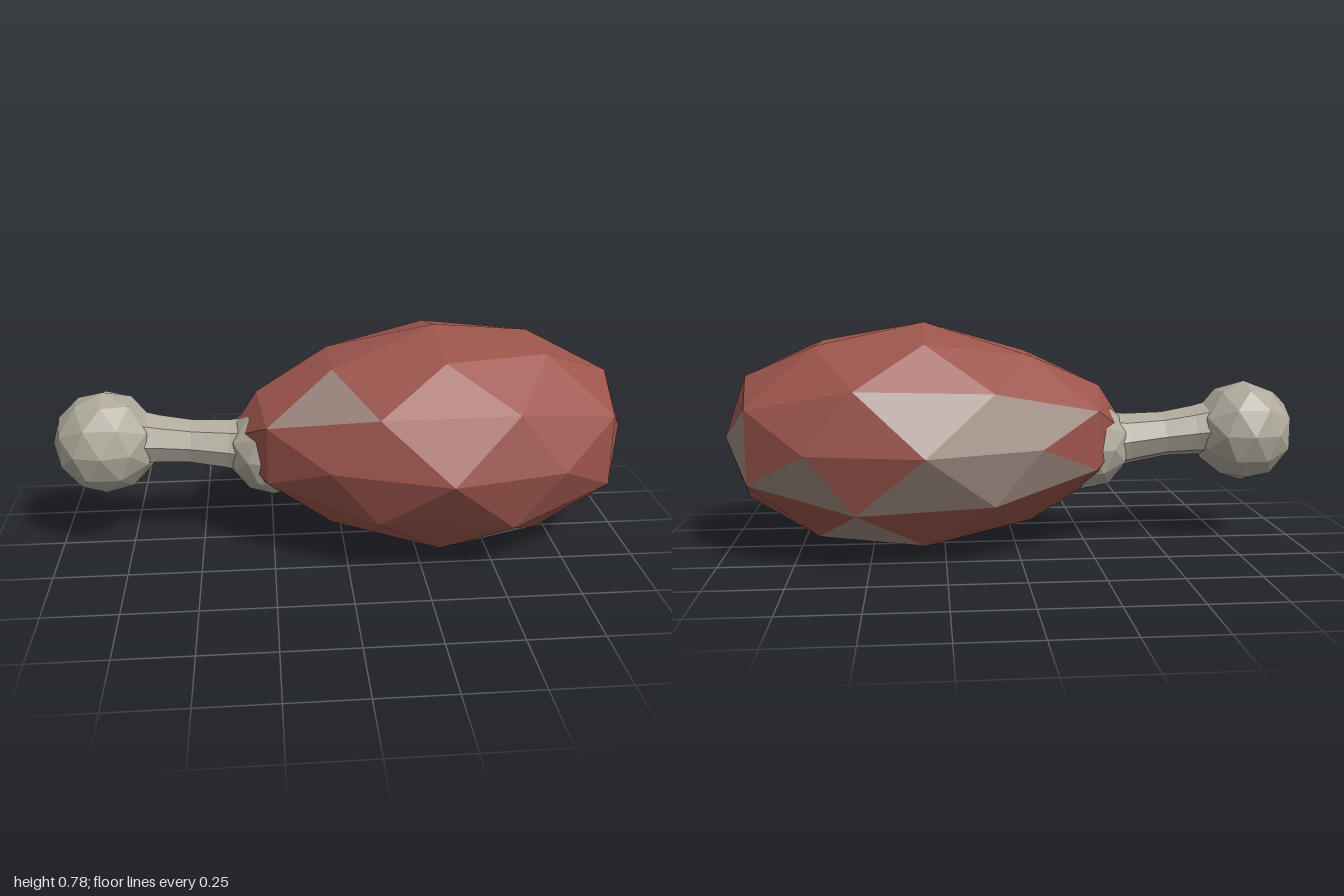
import * as THREE from 'three';

const material = (color) => new THREE.MeshStandardMaterial({ color, flatShading: true });

// Facet directions of the pale fat patches on the meat
const FAT = [
  [-1, 1, 1], [0.81, -2.16, 1.65], [2.16, -1.65, 0.81], [2.62, 0, -1],
  [1.65, -0.81, -2.16], [0.81, -2.16, -1.65], [0, 1, -2.62], [0, -1, -2.62],
  [-1.65, 0.81, -2.16], [-1.65, -0.81, -2.16], [-0.84, 0.5, -2.66], [-0.84, -0.5, -2.66],
].map((d) => new THREE.Vector3(...d).normalize());

// Stretch a unit-sphere point into the meat, tapering towards the bone
function shapeMeat(v) {
  const left = Math.min(v.x, 0), right = Math.max(v.x, 0);
  return new THREE.Vector3(
    0.315 + Math.min(v.x * 0.72, 0.685),
    0.392 + v.y * 0.392 * (1 + 0.22 * left + 0.03 * right),
    v.z * 0.49 * (1 + 0.29 * left - 0.06 * right),
  );
}

function facetMesh(name, points, mat) {
  const geo = new THREE.BufferGeometry().setFromPoints(points);
  geo.computeVertexNormals();
  const mesh = new THREE.Mesh(geo, mat);
  mesh.name = name;
  return mesh;
}

function createMeat() {
  const pos = new THREE.IcosahedronGeometry(1, 1).rotateZ(Math.PI / 2).getAttribute('position');
  const flesh = [], fat = [];
  for (let i = 0; i < pos.count; i += 3) {
    const tri = [0, 1, 2].map((k) => new THREE.Vector3().fromBufferAttribute(pos, i + k));
    const dir = new THREE.Vector3().add(tri[0]).add(tri[1]).add(tri[2]).normalize();
    const target = FAT.some((f) => f.dot(dir) > 0.98) ? fat : flesh;
    target.push(...tri.map(shapeMeat));
  }
  const meat = new THREE.Group();
  meat.name = 'meat';
  meat.add(facetMesh('flesh', flesh, material(0x9c554c)));
  meat.add(facetMesh('fatPatches', fat, material(0x9e8a80)));
  return meat;
}

function createBone() {
  const mat = material(0xaea99b);
  const bone = new THREE.Group();
  bone.name = 'bone';

  // Rounded, faceted knobs at both ends
  const knobs = [
    ['outerKnob', -0.82, 0.39, 0.18, 0.18, 0.172],
    ['innerKnob', -0.245, 0.35, 0.168, 0.165, 0.172],
  ];
  for (const [name, x, y, rx, ry, rz] of knobs) {
    const knob = new THREE.Mesh(new THREE.IcosahedronGeometry(1, 1).rotateZ(Math.PI / 2), mat);
    knob.name = name;
    knob.position.set(x, y, 0);
    knob.scale.set(rx, ry, rz);
    bone.add(knob);
  }

  // Slightly waisted shaft sloping down towards the meat
  const profile = [[0.11, -0.22], [0.09, -0.13], [0.08, 0], [0.088, 0.11], [0.105, 0.22]]
    .map(([r, y]) => new THREE.Vector2(r, y));
  const shaft = new THREE.Mesh(new THREE.LatheGeometry(profile, 8), mat);
  shaft.name = 'shaft';
  shaft.position.set(-0.53, 0.382, 0);
  shaft.rotation.z = Math.PI / 2 - 0.11;
  bone.add(shaft);
  return bone;
}

export function createModel() {
  const model = new THREE.Group();
  model.name = 'meatOnBone';
  model.add(createMeat(), createBone());
  return model;
}
